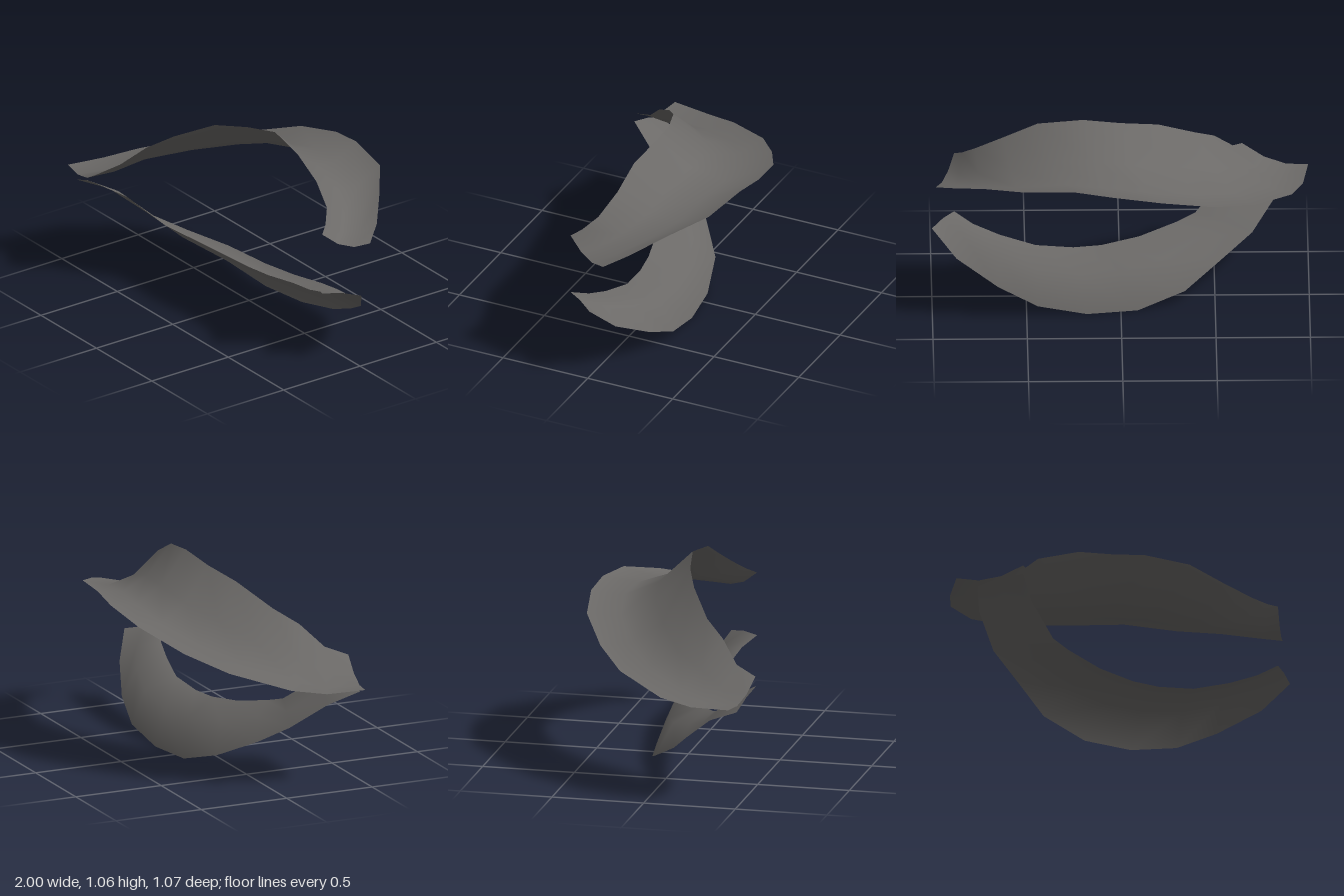
import * as THREE from 'three';

// Skin a smooth open strip between a front edge and a back edge.
// offset(u, t) returns the [y, z] curl added to the straight span.
function lidGeometry(front, back, rows, offset) {
  const n = front.length;
  const positions = [];
  const index = [];
  for (let i = 0; i < n; i++) {
    const a = new THREE.Vector3(...front[i]);
    const b = new THREE.Vector3(...back[i]);
    for (let j = 0; j <= rows; j++) {
      const t = j / rows;
      const p = a.clone().lerp(b, t);
      const [dy, dz] = offset(i / (n - 1), t);
      positions.push(p.x, p.y + dy, p.z + dz);
    }
  }
  const w = rows + 1;
  for (let i = 0; i < n - 1; i++) {
    for (let j = 0; j < rows; j++) {
      const a = i * w + j, b = a + w;
      index.push(a, b, a + 1, b, b + 1, a + 1);
    }
  }
  const geometry = new THREE.BufferGeometry();
  geometry.setAttribute('position', new THREE.Float32BufferAttribute(positions, 3));
  geometry.setIndex(index);
  geometry.computeVertexNormals();
  return geometry;
}

export function createModel() {
  const group = new THREE.Group();
  group.name = 'eyelids';

  const darkGrey = new THREE.MeshStandardMaterial({ color: 0x6b6967, side: THREE.DoubleSide });
  darkGrey.name = 'darkGrey';

  // Upper lid: raised front rim, sagging middle, wide back edge
  const upperFront = [
    [-0.65, 0.635, 0.525], [-0.60, 0.68, 0.41], [-0.50, 0.79, 0.31], [-0.40, 0.865, 0.20],
    [-0.20, 0.975, 0.08], [0.00, 1.02, 0.01], [0.20, 1.058, -0.025], [0.44, 1.025, 0.00],
    [0.62, 0.94, 0.01], [0.77, 0.855, 0.05], [0.84, 0.80, 0.11], [0.88, 0.77, 0.16],
  ];
  const upperBack = [
    [-1.00, 0.54, 0.46], [-0.97, 0.535, 0.25], [-0.91, 0.56, 0.07], [-0.71, 0.635, -0.20],
    [-0.49, 0.705, -0.36], [-0.22, 0.80, -0.50], [0.04, 0.855, -0.54], [0.24, 0.88, -0.525],
    [0.52, 0.86, -0.48], [0.72, 0.805, -0.33], [0.89, 0.74, -0.19], [0.98, 0.69, -0.08],
  ];
  const sag = (u, t) => [-(0.04 + 0.06 * Math.sin(Math.PI * u)) * Math.sin(Math.PI * t) * 1.1, 0];
  const upperLid = new THREE.Mesh(lidGeometry(upperFront, upperBack, 3, sag), darkGrey);
  upperLid.name = 'upperLid';
  group.add(upperLid);

  // Lower lid: narrow shelf at the front, folding down to the back edge
  const lowerFront = [
    [-0.65, 0.585, 0.53], [-0.56, 0.50, 0.39], [-0.40, 0.36, 0.26], [-0.30, 0.33, 0.21],
    [-0.10, 0.285, 0.13], [0.10, 0.26, 0.08], [0.25, 0.26, 0.055], [0.45, 0.285, 0.035],
    [0.64, 0.33, 0.07], [0.78, 0.38, 0.10], [0.88, 0.425, 0.16],
  ];
  const lowerBack = [
    [-0.89, 0.50, 0.48], [-0.83, 0.43, 0.32], [-0.70, 0.29, 0.16], [-0.53, 0.18, 0.05],
    [-0.34, 0.075, -0.10], [-0.09, 0.00, -0.175], [0.18, 0.00, -0.215], [0.44, 0.055, -0.23],
    [0.65, 0.15, -0.19], [0.87, 0.275, -0.10], [1.00, 0.41, -0.01],
  ];
  const fold = (u, t) => {
    const k = Math.max(0, Math.sin(Math.PI * (u - 0.2) / 0.8)) * Math.sin(Math.PI * t);
    return [0.055 * k + 0.01 * Math.sin(Math.PI * t), -0.06 * k];
  };
  const lowerLid = new THREE.Mesh(lidGeometry(lowerFront, lowerBack, 2, fold), darkGrey);
  lowerLid.name = 'lowerLid';
  group.add(lowerLid);

  return group;
}
